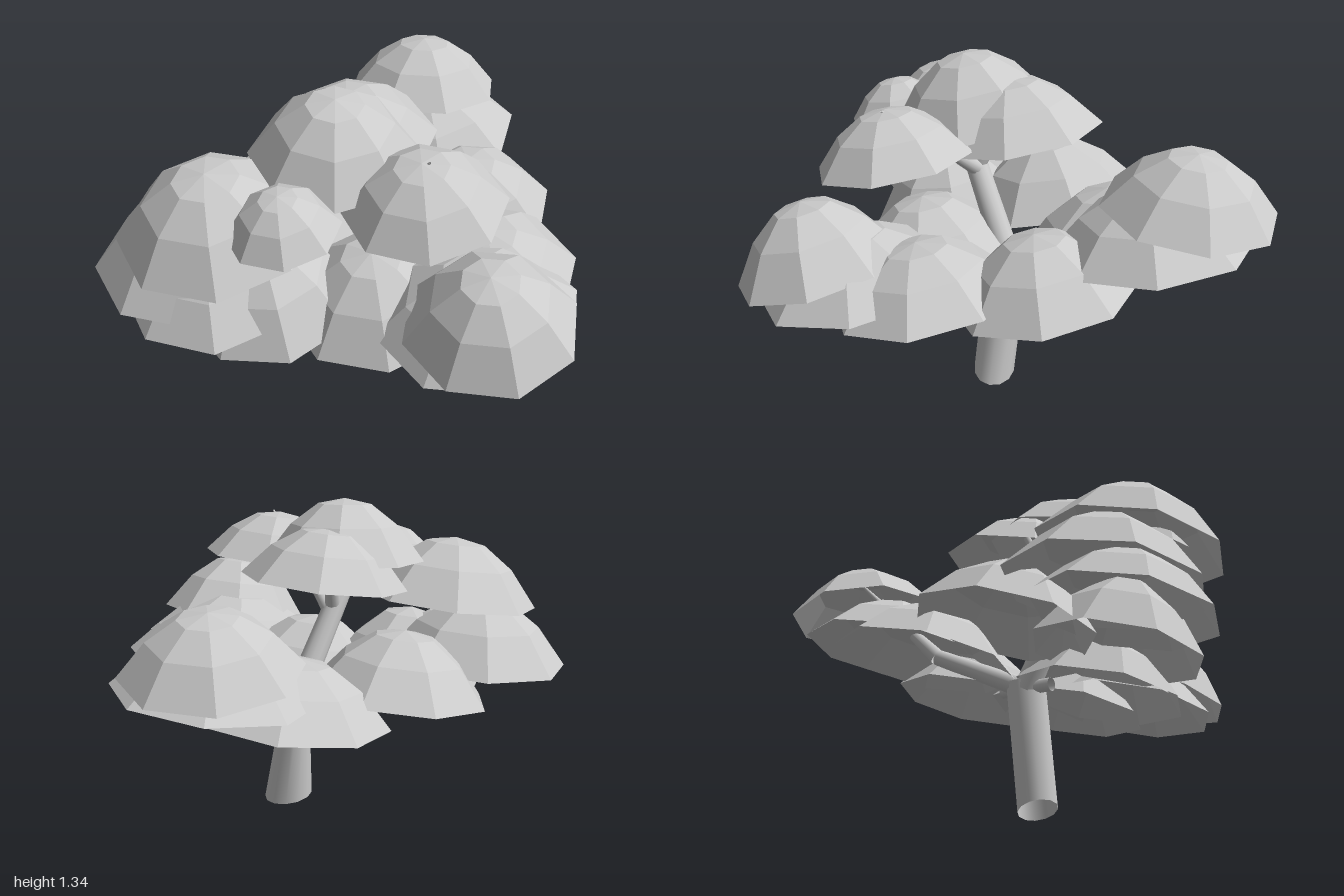
import * as THREE from 'three';

const leafMat = new THREE.MeshStandardMaterial({ color: 0xcccccc, flatShading: true, side: THREE.DoubleSide });
const barkMat = new THREE.MeshStandardMaterial({ color: 0xcccccc, side: THREE.DoubleSide });
const UP = new THREE.Vector3(0, 1, 0);

// hollow eight-sided leaf dome, open below and centred on its rim
function leafDome(x, y, z, r, h, spin = 0, slopeX = 0.1, slopeZ = -0.18) {
  const profile = [[1, 0], [0.67, 0.57], [0.33, 0.91], [0, 1]]
    .map(([px, py]) => new THREE.Vector2(px * r, py * h));
  const dome = new THREE.Mesh(new THREE.LatheGeometry(profile, 8), leafMat);
  dome.name = 'leafDome';
  const normal = new THREE.Vector3(-slopeX, 1, -slopeZ).normalize();
  dome.quaternion.setFromUnitVectors(UP, normal);
  dome.rotateY(spin);
  dome.position.set(x, y, z);
  return dome;
}

// tapered open tube between two points
function limb(name, from, to, r0, r1) {
  const a = new THREE.Vector3(...from), b = new THREE.Vector3(...to);
  const dir = b.clone().sub(a);
  const mesh = new THREE.Mesh(new THREE.CylinderGeometry(r1, r0, dir.length(), 12, 1, true), barkMat);
  mesh.name = name;
  mesh.quaternion.setFromUnitVectors(UP, dir.normalize());
  mesh.position.copy(a.add(b).multiplyScalar(0.5));
  return mesh;
}

export function createModel() {
  const tree = new THREE.Group();
  tree.name = 'tree';

  // leaning trunk, narrowing from side to side only, with a slanted foot
  const trunk = limb('trunk', [0.235, 0.02, 0.085], [0.18, 0.57, 0.03], 0.085, 0.085);
  const p = trunk.geometry.attributes.position;
  for (let i = 0; i < p.count; i++) {
    const foot = p.getY(i) < 0;
    p.setX(i, p.getX(i) * (foot ? 1.22 : 0.6));
    if (foot) p.setY(i, p.getY(i) - p.getX(i) * 0.25);
  }
  trunk.geometry.computeVertexNormals();
  tree.add(trunk);

  // branches: start, end, radii
  const branches = [
    [[0.18, 0.53, 0.03], [0.0, 0.97, 0.22], 0.055, 0.045],
    [[0.0, 0.95, 0.21], [-0.03, 1.33, 0.22], 0.04, 0.006],
    [[0.05, 0.87, 0.17], [0.33, 1.22, 0.48], 0.035, 0.004],
    [[0.02, 0.93, 0.2], [-0.2, 1.08, 0.54], 0.03, 0.008],
    [[0.04, 0.88, 0.18], [0.04, 1.2, 0.02], 0.035, 0.015],
    [[0.18, 0.54, 0.02], [0.3, 0.72, -0.35], 0.045, 0.035],
    [[0.3, 0.72, -0.35], [0.39, 1.1, -0.7], 0.035, 0.006],
    [[0.26, 0.55, -0.06], [0.1, 0.53, 0.13], 0.03, 0.03],
  ];
  for (const b of branches) tree.add(limb('branch', ...b));

  // canopy: rim centre, radius, height, spin, optional slopes
  const canopy = new THREE.Group();
  canopy.name = 'canopy';
  const domes = [
    // crown
    [-0.005, 1.09, 0.19, 0.335, 0.255, 0, 0, -0.18],
    [0.06, 1.05, 0.01, 0.34, 0.22, 0.03],
    [0.32, 1.02, 0.44, 0.31, 0.2, 0],
    [-0.19, 0.99, 0.55, 0.215, 0.155, 0.05],
    // back
    [0.39, 0.935, -0.675, 0.335, 0.225, 0.24, 0, 0.09],
    [0.41, 0.79, -0.55, 0.39, 0.22, 0.1, 0.1, -0.13],
    [0.15, 0.63, -0.4, 0.39, 0.24, 0],
    // left side of the model
    [0.57, 0.625, -0.17, 0.35, 0.25, 0.13],
    [0.6, 0.6, 0.27, 0.36, 0.22, 0.07],
    [0.56, 0.665, 0.685, 0.33, 0.27, 0.2, 0.1, -0.26],
    [0.53, 0.595, 0.54, 0.4, 0.22, 0.2],
    // right side of the model
    [-0.45, 0.87, 0.37, 0.385, 0.27, 0.07],
    [-0.57, 0.64, 0.24, 0.395, 0.28, 0.1, 0.06, -0.14],
    [-0.47, 0.59, 0.33, 0.38, 0.24, 0.05],
    [-0.25, 0.62, -0.1, 0.375, 0.26, 0.42],
    // low front
    [-0.26, 0.515, 0.34, 0.355, 0.31, 0.25],
    [0.16, 0.505, 0.345, 0.37, 0.27, 0.1],
  ];
  for (const d of domes) canopy.add(leafDome(...d));
  tree.add(canopy);
  return tree;
}
